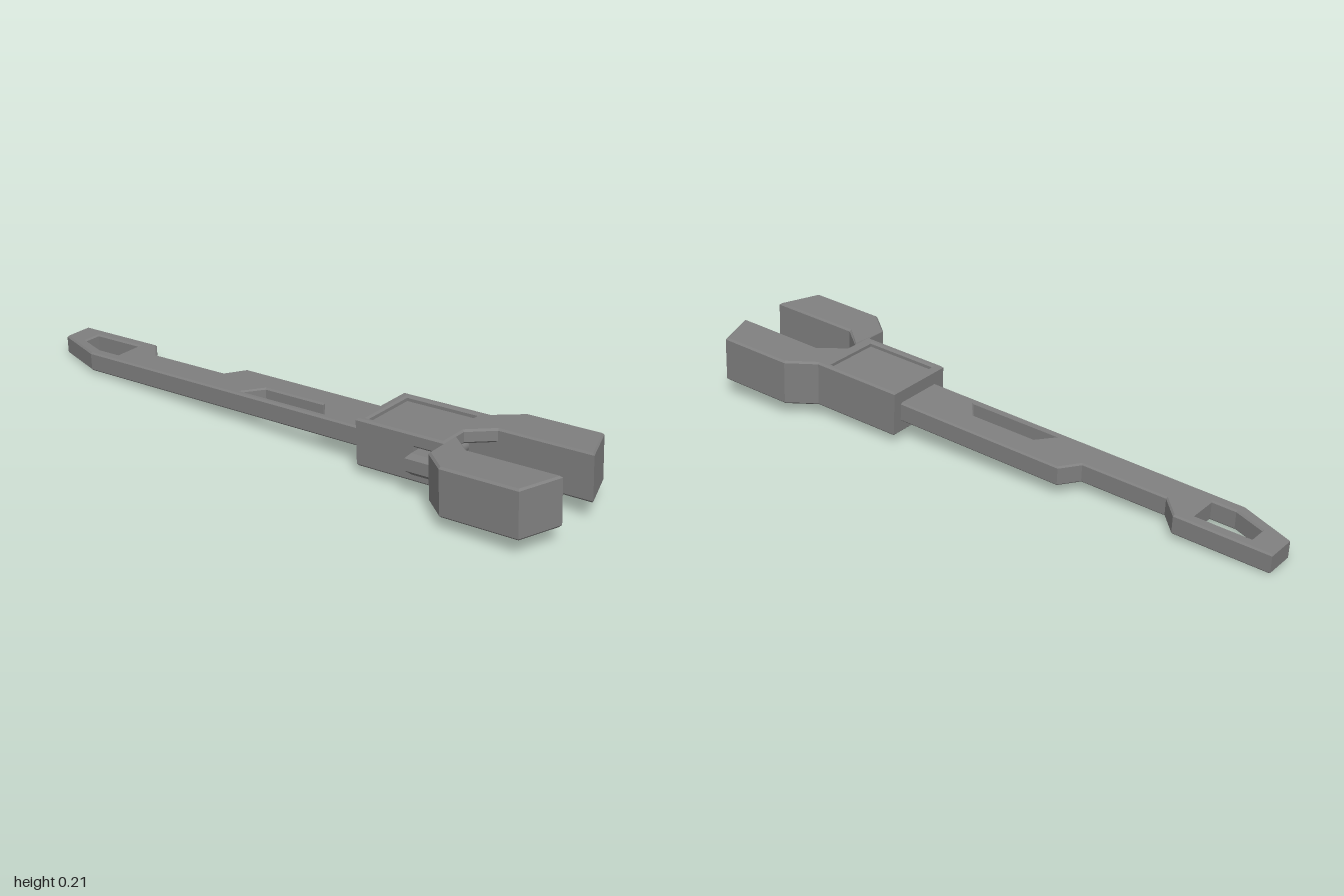
import * as THREE from 'three';

const material = new THREE.MeshStandardMaterial({ color: 0x808080 });

const toPoints = (list) => list.map(([x, z]) => new THREE.Vector2(x, z));

// Slab with a plan outline in (x, z), centred on height y, with chamfered rims
function slab(name, outline, thickness, y, bevel, holes = []) {
  const shape = new THREE.Shape(toPoints(outline));
  for (const hole of holes) shape.holes.push(new THREE.Path(toPoints(hole)));
  const depth = thickness - 2 * bevel;
  const geometry = new THREE.ExtrudeGeometry(shape, {
    depth,
    bevelEnabled: bevel > 0,
    bevelThickness: bevel,
    bevelSize: bevel,
    bevelOffset: -bevel,
    bevelSegments: 1,
  });
  geometry.translate(0, 0, -depth / 2);
  geometry.rotateX(Math.PI / 2);
  const mesh = new THREE.Mesh(geometry, material);
  mesh.name = name;
  mesh.position.y = y;
  return mesh;
}

const rect = (x0, x1, z0, z1) => [[x0, z0], [x1, z0], [x1, z1], [x0, z1]];

export function createModel() {
  const model = new THREE.Group();
  model.name = 'adjustableWrench';

  // Handle with a hanging hole and a slot
  const hangingHole = [[0.042, -0.915], [0.1, -0.915], [0.1, -0.73], [0.002, -0.73], [0.002, -0.81]];
  const gripSlot = [[-0.019, -0.19], [0.042, -0.141], [0.042, 0.083], [-0.019, 0.132]];
  model.add(slab('handle', [
    [0.037, -1], [0.137, -1], [0.137, -0.685], [0.069, -0.62], [0.069, -0.333],
    [0.132, -0.29], [0.127, 0.32], [-0.042, 0.32], [-0.034, -0.82],
  ], 0.063, 0, 0.005, [hangingHole, gripSlot]));

  const head = new THREE.Group();
  head.name = 'head';
  head.position.y = 0.003;
  model.add(head);

  // Fixed jaw and block: two plates around a core that leaves the adjuster slot open
  const jawTip = [[0.159, 0.605], [0.222, 0.69], [0.222, 0.94], [0.081, 0.99], [0.081, 0.68]];
  const plate = [[-0.08, 0.298], [0.159, 0.298], ...jawTip, [0.02, 0.605], [-0.08, 0.605]];
  const core = [[-0.08, 0.298], [0.159, 0.298], ...jawTip, [0.081, 0.5], [-0.08, 0.5]];
  const recess = rect(-0.058, 0.138, 0.325, 0.575);
  head.add(slab('upperPlate', plate, 0.043, 0.0535, 0.006, [recess]));
  head.add(slab('lowerPlate', plate, 0.043, -0.0535, 0.006));
  head.add(slab('headCore', core, 0.084, 0, 0));

  // Sunken floor of the recess on top of the block
  head.add(slab('recessPanel', rect(-0.07, 0.15, 0.31, 0.59), 0.024, 0.047, 0));

  // Movable jaw with its sliding tongue
  head.add(slab('movableJaw', [
    [-0.155, 0.605], [-0.222, 0.685], [-0.222, 0.94], [-0.083, 0.99],
    [-0.083, 0.685], [-0.018, 0.605],
  ], 0.152, -0.003, 0.006));
  head.add(slab('jawTongue', rect(-0.124, -0.03, 0.5, 0.61), 0.066, -0.003, 0.014));

  // Adjuster roller inside the slot
  const roller = new THREE.Mesh(new THREE.CylinderGeometry(0.022, 0.022, 0.13, 24), material);
  roller.name = 'adjusterRoller';
  roller.rotation.z = Math.PI / 2;
  roller.position.set(0.03, -0.004, 0.56);
  head.add(roller);

  // Tool rests on its tail, with the jaws raised
  model.rotation.x = -0.051;
  model.position.set(0.001, 0.083, 0.004);
  const root = new THREE.Group();
  root.name = 'wrench';
  root.add(model);
  return root;
}
